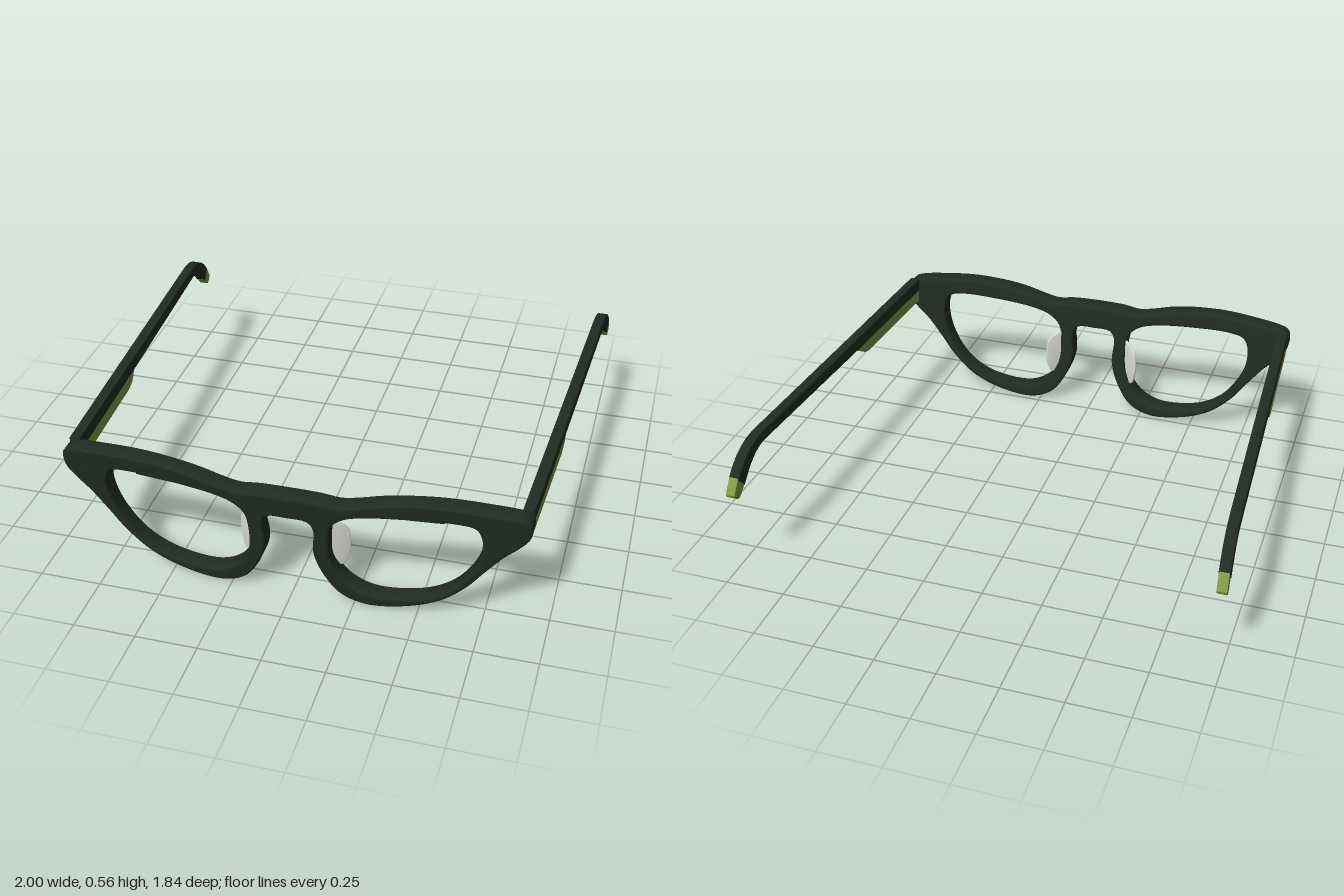
import * as THREE from 'three';
import { toCreasedNormals } from 'three/addons/utils/BufferGeometryUtils.js';

const material = (name, color) => new THREE.MeshStandardMaterial({ name, color });

const vectors = (points) => points.map(([x, y]) => new THREE.Vector2(x, y));

// Smooth closed loop through a few points
function smoothLoop(points, count) {
  const curve = new THREE.CatmullRomCurve3(
    points.map(([x, y]) => new THREE.Vector3(x, y, 0)), true, 'centripetal');
  return curve.getSpacedPoints(count).slice(0, -1).map((p) => new THREE.Vector2(p.x, p.y));
}

// Slab of the given total depth, centred on z = 0, with softened edges
function slab(shape, depth, bevel) {
  const geometry = new THREE.ExtrudeGeometry(shape, {
    depth: depth - 2 * bevel, bevelEnabled: bevel > 0, bevelThickness: bevel,
    bevelSize: bevel, bevelOffset: -bevel, bevelSegments: 3, curveSegments: 12,
  });
  return geometry.translate(0, 0, bevel - depth / 2);
}

// Halve triangles at their longest edge until all edges are short, so a slab bends smoothly
function subdivide(geometry, limit) {
  const source = geometry.attributes.position;
  const corner = (i) => new THREE.Vector3().fromBufferAttribute(source, i);
  const stack = [];
  for (let i = 0; i < source.count; i += 3) stack.push([corner(i), corner(i + 1), corner(i + 2)]);
  const done = [];
  while (stack.length) {
    const t = stack.pop();
    const lengths = t.map((p, k) => p.distanceTo(t[(k + 1) % 3]));
    const longest = Math.max(...lengths);
    if (longest < limit) {
      done.push(...t);
      continue;
    }
    const k = lengths.indexOf(longest);
    const [a, b, c] = [t[k], t[(k + 1) % 3], t[(k + 2) % 3]];
    const middle = a.clone().add(b).multiplyScalar(0.5);
    stack.push([a, middle, c], [middle, b, c]);
  }
  return new THREE.BufferGeometry().setFromPoints(done);
}

// Move every vertex by a rule
function warp(geometry, rule) {
  const position = geometry.attributes.position;
  const v = new THREE.Vector3();
  for (let i = 0; i < position.count; i++) {
    v.fromBufferAttribute(position, i);
    rule(v);
    position.setXYZ(i, v.x, v.y, v.z);
  }
  return geometry;
}

// Face-form curve and forward tilt of the frame front
const wrapFront = (v) => {
  v.z += 0.912 - 0.05 * (v.x / 0.9) ** 2 - 0.115 * (0.5 - v.y);
};

export function createModel() {
  const model = new THREE.Group();
  model.name = 'glasses';
  const dark = material('dark green acetate', 0x202c22);
  const green = material('leaf green', 0x7f9c45);
  const padGrey = material('pale grey', 0xdadcd4);

  const add = (name, geometry, mat) => {
    const mesh = new THREE.Mesh(toCreasedNormals(geometry, 0.6), mat);
    mesh.name = name;
    model.add(mesh);
  };

  // Frame front: half outline from bridge top around to bridge underside, mirrored
  const half = [
    [0, 0.505], [0.12, 0.502], [0.2, 0.493], [0.27, 0.507], [0.36, 0.532], [0.48, 0.552],
    [0.6, 0.56], [0.74, 0.554], [0.89, 0.535], [0.912, 0.52], [0.914, 0.455], [0.88, 0.405],
    [0.82, 0.345], [0.75, 0.255], [0.687, 0.17], [0.59, 0.082], [0.46, 0.025], [0.3, 0.003],
    [0.2, 0.04], [0.133, 0.13], [0.096, 0.24], [0.1, 0.36], [0.08, 0.394], [0, 0.4],
  ];
  const outline = half.concat(half.slice(1, -1).reverse().map(([x, y]) => [-x, y]));
  const lens = [
    [0.22, 0.435], [0.3, 0.46], [0.48, 0.481], [0.65, 0.487], [0.715, 0.472], [0.738, 0.42],
    [0.734, 0.34], [0.7, 0.245], [0.63, 0.147], [0.53, 0.083], [0.39, 0.054], [0.3, 0.062],
    [0.22, 0.11], [0.167, 0.2], [0.158, 0.3], [0.172, 0.39],
  ];
  // Holes run against the outline so that their walls face inwards
  const frontShape = new THREE.Shape(smoothLoop(outline, 240));
  frontShape.holes.push(new THREE.Path(smoothLoop(lens, 100).reverse()));
  frontShape.holes.push(new THREE.Path(smoothLoop(lens.map(([x, y]) => [-x, y]), 100)));
  const front = subdivide(slab(frontShape, 0.08, 0.01).translate(0, 0, -0.04), 0.06);
  add('frameFront', warp(front, wrapFront), dark);

  // Raised brow along the top of the front, fading out towards the sides
  const browTop = new THREE.CatmullRomCurve3(
    half.slice(0, 7).map(([x, y]) => new THREE.Vector3(x, y - 0.004, 0)))
    .getPoints(30).map((p) => [p.x, p.y]);
  const browEdge = browTop.slice(1).reverse().map(([x, y]) => [-x, y]).concat(browTop);
  const browBase = browTop.slice().reverse().map(([x]) => [x, 0.487])
    .concat(browTop.slice(1).map(([x]) => [-x, 0.487]));
  const brow = subdivide(slab(new THREE.Shape(vectors(browEdge.concat(browBase))), 0.03, 0), 0.06);
  warp(brow, (v) => {
    v.z += -0.005 - 0.012 * (v.x / 0.6) ** 2;
    wrapFront(v);
  });
  add('brow', brow, dark);

  // Side profiles of the arms, drawn with x running backwards (x = -z)
  const armShape = new THREE.Shape();
  armShape.moveTo(-0.795, 0.54);
  armShape.lineTo(0.66, 0.538);
  armShape.bezierCurveTo(0.75, 0.538, 0.82, 0.51, 0.885, 0.43);
  armShape.lineTo(0.843, 0.385);
  armShape.bezierCurveTo(0.78, 0.46, 0.73, 0.492, 0.66, 0.492);
  armShape.lineTo(-0.17, 0.482);
  armShape.lineTo(-0.795, 0.482);
  const tipShape = new THREE.Shape(vectors(
    [[0.882, 0.437], [0.922, 0.378], [0.918, 0.366], [0.896, 0.348], [0.885, 0.348], [0.836, 0.39]]));
  const insertShape = new THREE.Shape(vectors(
    [[-0.795, 0.49], [-0.168, 0.49], [-0.193, 0.452], [-0.215, 0.438], [-0.25, 0.43], [-0.795, 0.43]]));

  // Nose pad profile: half-leaf reaching outwards from the rim
  const padPoints = [[0, 0.365], [0.045, 0.35], [0.08, 0.32], [0.09, 0.265],
    [0.088, 0.21], [0.065, 0.15], [0.035, 0.16], [0, 0.22]];

  for (const s of [1, -1]) {
    const side = s > 0 ? 'left' : 'right';

    // Arms spread outwards towards the back
    const arm = (name, shape, width, bevel, mat) => {
      const geometry = slab(shape, width, bevel).rotateY(Math.PI / 2);
      warp(geometry, (v) => { v.x += s * (0.89 + (0.8 - v.z) * 0.0525); });
      add(side + name, geometry, mat);
    };
    arm('Arm', armShape, 0.044, 0.004, dark);
    arm('ArmTip', tipShape, 0.04, 0.004, green);
    arm('ArmInsert', insertShape, 0.043, 0.002, green);

    // Nose pad turned towards the back
    const padShape = new THREE.Shape(smoothLoop(padPoints.map(([x, y]) => [s * x, y]), 40));
    const pad = slab(padShape, 0.012, 0.004).rotateY(s * 0.58).translate(s * 0.145, 0, 0.832);
    add(side + 'NosePad', pad, padGrey);
  }
  return model;
}
